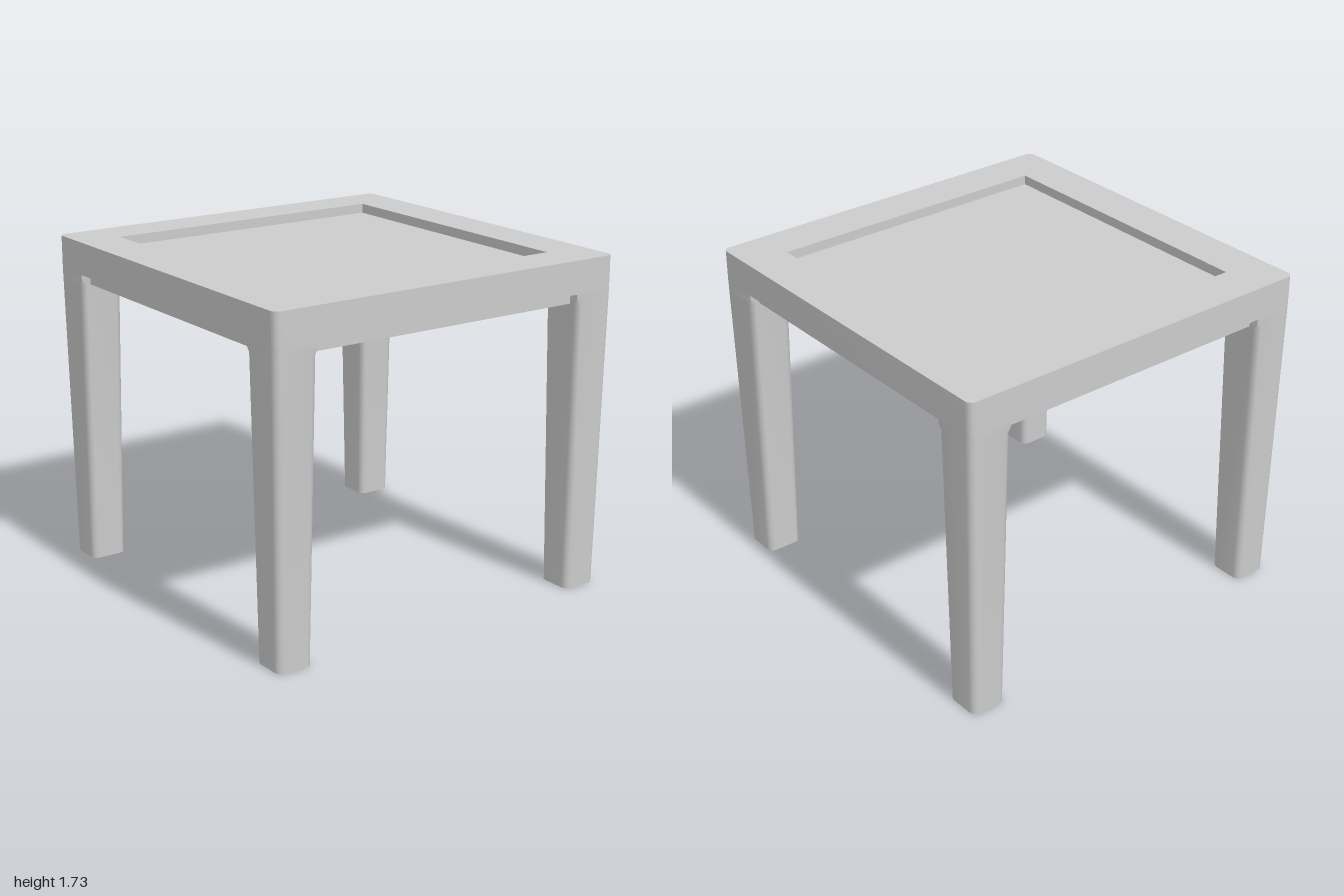
import * as THREE from 'three';
import { toCreasedNormals } from 'three/addons/utils/BufferGeometryUtils.js';

const TOP = 1.73, FRAME_BOTTOM = 1.56, SLAB_BOTTOM = 1.505, SLAB_TOP = 1.68;
const OUTER_R = 0.035, CORNER_STEPS = 4;

// Ring of a square from `lo` to `hi` in x and z; the outer corner has its own radius
function legRing(y, lo, hi, r) {
  const corners = [[hi, hi, OUTER_R], [lo, hi, r], [lo, lo, r], [hi, lo, r]];
  const ring = [];
  corners.forEach(([x, z, rad], q) => {
    const cx = x === hi ? x - rad : x + rad;
    const cz = z === hi ? z - rad : z + rad;
    for (let s = 0; s <= CORNER_STEPS; s++) {
      const a = (q + s / CORNER_STEPS) * Math.PI / 2;
      ring.push([cx + rad * Math.cos(a), y, cz + rad * Math.sin(a)]);
    }
  });
  return ring;
}

// Tapered leg whose rounded corners run out to sharp ones just under the frame
function legGeometry() {
  const rings = [[0, 0.035], [SLAB_BOTTOM, 0.03], [1.535, 0.002], [FRAME_BOTTOM, 0.002]].map(([y, r]) => {
    const t = y / FRAME_BOTTOM;
    return legRing(y, 0.79 - 0.02 * t, 0.98 + 0.02 * t, r);
  });
  const n = rings[0].length;
  const positions = rings.flat(2);
  const index = [];
  for (let j = 0; j < rings.length - 1; j++) {
    for (let k = 0; k < n; k++) {
      const a = j * n + k, b = j * n + (k + 1) % n;
      index.push(a, a + n, b, b, a + n, b + n);
    }
  }
  // Sole
  for (let k = 1; k < n - 1; k++) index.push(0, k, k + 1);
  const geo = new THREE.BufferGeometry();
  geo.setAttribute('position', new THREE.Float32BufferAttribute(positions, 3));
  geo.setIndex(index);
  return toCreasedNormals(geo, 0.6);
}

// Square rim with rounded outer corners and a sharp square opening
function frameGeometry() {
  const shape = new THREE.Shape();
  const c = 1 - OUTER_R;
  for (let q = 0; q < 4; q++) {
    const a = q * Math.PI / 2 + Math.PI / 4;
    const s = a - Math.PI / 4;
    shape.absarc(Math.sign(Math.cos(a)) * c, Math.sign(Math.sin(a)) * c, OUTER_R, s, s + Math.PI / 2, false);
  }
  shape.closePath();
  const h = 0.77;
  const hole = new THREE.Path([[-h, -h], [-h, h], [h, h], [h, -h]].map(p => new THREE.Vector2(...p)));
  shape.holes.push(hole);
  const geo = new THREE.ExtrudeGeometry(shape, {
    depth: TOP - FRAME_BOTTOM, bevelEnabled: false, curveSegments: CORNER_STEPS,
  });
  geo.rotateX(-Math.PI / 2).translate(0, FRAME_BOTTOM, 0);
  return toCreasedNormals(geo, 0.6);
}

export function createModel() {
  const group = new THREE.Group();
  group.name = 'table';
  const material = new THREE.MeshStandardMaterial({ color: 0xcccccc });
  const add = (geo, name) => {
    const mesh = new THREE.Mesh(geo, material);
    mesh.name = name;
    group.add(mesh);
    return mesh;
  };

  add(frameGeometry(), 'topFrame');

  // Slab: floor of the recess above, stepped-in underside below
  const slab = new THREE.BoxGeometry(1.9, SLAB_TOP - SLAB_BOTTOM, 1.9);
  add(slab, 'recessedPanel').position.y = (SLAB_TOP + SLAB_BOTTOM) / 2;

  // Four legs, turned about the centre
  const leg = legGeometry();
  ['frontLeftLeg', 'backLeftLeg', 'backRightLeg', 'frontRightLeg'].forEach((name, i) => {
    add(leg, name).rotation.y = i * Math.PI / 2;
  });

  return group;
}
